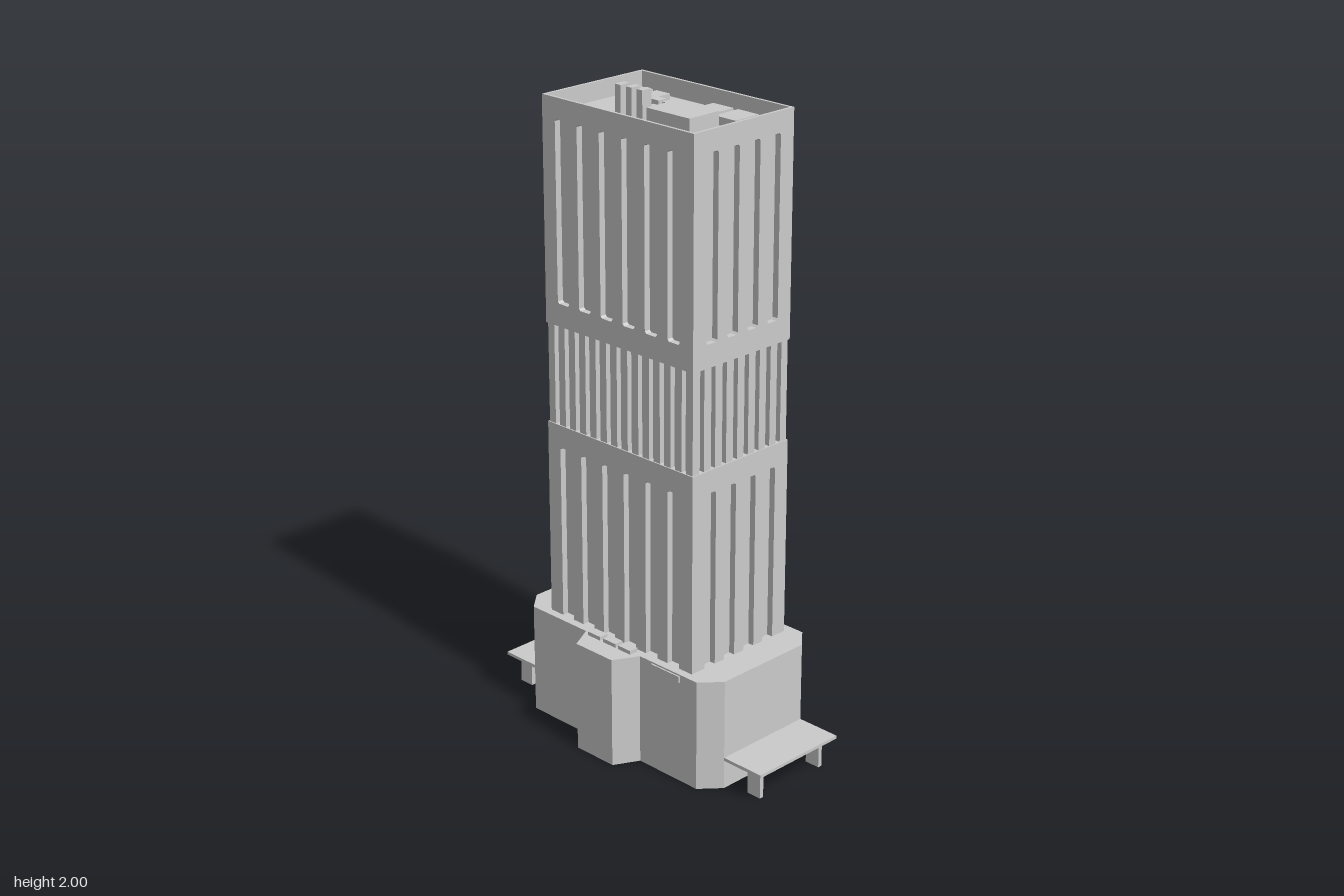
import * as THREE from 'three';

const mat = new THREE.MeshStandardMaterial({ color: 0xcccccc, flatShading: true, side: THREE.DoubleSide });

function add(parent, name, geo) {
  const mesh = new THREE.Mesh(geo, mat);
  mesh.name = name;
  parent.add(mesh);
  return mesh;
}

// box given by its limits on each axis
function box(parent, name, x0, x1, y0, y1, z0, z1) {
  const mesh = add(parent, name, new THREE.BoxGeometry(x1 - x0, y1 - y0, z1 - z0));
  mesh.position.set((x0 + x1) / 2, (y0 + y1) / 2, (z0 + z1) / 2);
  return mesh;
}

// plan outline raised from y0 to y1, with an optional hole
function slab(parent, name, outline, y0, y1, hole) {
  const toVec = (p) => new THREE.Vector2(p[0], -p[1]);
  const shape = new THREE.Shape(outline.map(toVec));
  if (hole) shape.holes.push(new THREE.Path(hole.map(toVec)));
  const geo = new THREE.ExtrudeGeometry(shape, { depth: y1 - y0, bevelEnabled: false });
  geo.rotateX(-Math.PI / 2);
  add(parent, name, geo).position.y = y0;
}

const rect = (w, l) => [[-w / 2, -l / 2], [w / 2, -l / 2], [w / 2, l / 2], [-w / 2, l / 2]];

// slot with small chamfered corners
function slotPath(x, w, y0, y1) {
  const c = 0.006, a = x - w / 2, b = x + w / 2;
  return new THREE.Path([[a + c, y0], [b - c, y0], [b, y0 + c], [b, y1 - c],
    [b - c, y1], [a + c, y1], [a, y1 - c], [a, y0 + c]].map((p) => new THREE.Vector2(...p)));
}

const W = 0.394, L = 0.598, D = 0.02; // tower width, length, slot depth
const FLOOR = 1.905, TOP = 1.96;

// one wall: slotted lower and upper panels with a finned band between
function wall(angle, width, reach, panelWidth, slots, pitch, slotWidth, fins) {
  const g = new THREE.Group();
  g.name = 'wall';
  g.rotation.y = angle;
  for (const [name, y0, y1, s0, s1] of [
    ['lowerPanel', 0.3, 0.97, 0.32, 0.9], ['upperPanel', 1.28, FLOOR, 1.35, 1.897]]) {
    const p = panelWidth / 2;
    const shape = new THREE.Shape([[-p, y0], [p, y0], [p, y1], [-p, y1]].map((q) => new THREE.Vector2(...q)));
    for (let i = 0; i < slots; i++) shape.holes.push(slotPath((i - (slots - 1) / 2) * pitch, slotWidth, s0, s1));
    add(g, name, new THREE.ExtrudeGeometry(shape, { depth: D, bevelEnabled: false })).position.z = reach - D;
  }
  const finW = 0.026, span = width - finW - 0.008;
  for (let i = 0; i < fins; i++) {
    const x = -span / 2 + (span * i) / (fins - 1);
    box(g, 'fin', x - finW / 2, x + finW / 2, 0.97, 1.28, reach - D, reach - 0.004);
  }
  return g;
}

export function createModel() {
  const model = new THREE.Group();
  model.name = 'officeTower';

  // podium: hollow shell with chamfered corners and side bays
  const quarter = [[0.165, 0.402], [0.226, 0.348], [0.226, 0.115], [0.303, 0.075]];
  const back = quarter.map(([x, z]) => [x, -z]);
  const right = [...back, ...quarter.slice().reverse()];
  const outline = [...right, ...right.map(([x, z]) => [-x, z]).reverse()];
  const podium = new THREE.Group();
  podium.name = 'podium';
  model.add(podium);
  slab(podium, 'podiumWalls', outline, 0, 0.34, outline.map(([x, z]) => [x * 0.98, z * 0.985]));
  slab(podium, 'podiumRoof', outline, 0.34, 0.35);
  for (const s of [-1, 1]) {
    for (const z of [-0.065, 0, 0.063]) {
      box(podium, 'podiumVent', s * 0.225 - 0.015, s * 0.225 + 0.015, 0.35, 0.362, z - 0.026, z + 0.026);
    }
  }
  box(podium, 'wallPlate', -0.231, -0.226, 0.325, 0.345, 0.165, 0.28);

  // entrance canopies at both ends
  for (const s of [-1, 1]) {
    const canopy = new THREE.Group();
    canopy.name = 'canopy';
    canopy.rotation.y = s > 0 ? 0 : Math.PI;
    box(canopy, 'canopySlab', -0.165, 0.165, 0.091, 0.101, 0.395, 0.546);
    for (const x of [-0.127, 0.127]) box(canopy, 'canopyLeg', x - 0.007, x + 0.007, 0, 0.092, 0.467, 0.517);
    model.add(canopy);
  }

  // tower
  const tower = new THREE.Group();
  tower.name = 'tower';
  tower.position.set(-0.003, 0, 0.004);
  model.add(tower);
  box(tower, 'core', -W / 2 + D, W / 2 - D, 0.34, FLOOR, -L / 2 + D, L / 2 - D);
  for (const a of [0, Math.PI]) {
    tower.add(wall(a, W, L / 2, W, 4, 0.082, 0.043, 9));
    tower.add(wall(a + Math.PI / 2, L, W / 2, L - 2 * D, 6, 0.0893, 0.048, 14));
  }
  slab(tower, 'parapet', rect(W, L), FLOOR, TOP, rect(W - 0.018, L - 0.018));
  box(tower, 'backLedge', -0.1, 0.1, 0.92, 0.94, -L / 2 - 0.004, -L / 2);

  // rooftop equipment: x0, x1, z0, z1, top
  const roof = new THREE.Group();
  roof.name = 'roofEquipment';
  model.add(roof);
  const units = [
    [-0.125, -0.01, 0.047, 0.212, 1.97],
    [0.055, 0.15, 0.036, 0.115, 1.93], [0.055, 0.15, 0.132, 0.212, 1.93],
    [0.098, 0.151, -0.262, -0.207, 1.925], [0.098, 0.151, -0.192, -0.137, 1.925],
  ];
  for (const x of [-0.005, 0.061]) {
    for (const z of [-0.103, -0.036]) units.push([x - 0.016, x + 0.016, z - 0.026, z + 0.026, 1.935]);
  }
  for (const [x0, x1, z0, z1, y] of units) box(roof, 'roofUnit', x0, x1, FLOOR, y, z0, z1);
  for (const z of [-0.108, -0.064, -0.021]) box(roof, 'flue', -0.085, -0.049, FLOOR, 2, z - 0.011, z + 0.011);

  return model;
}
